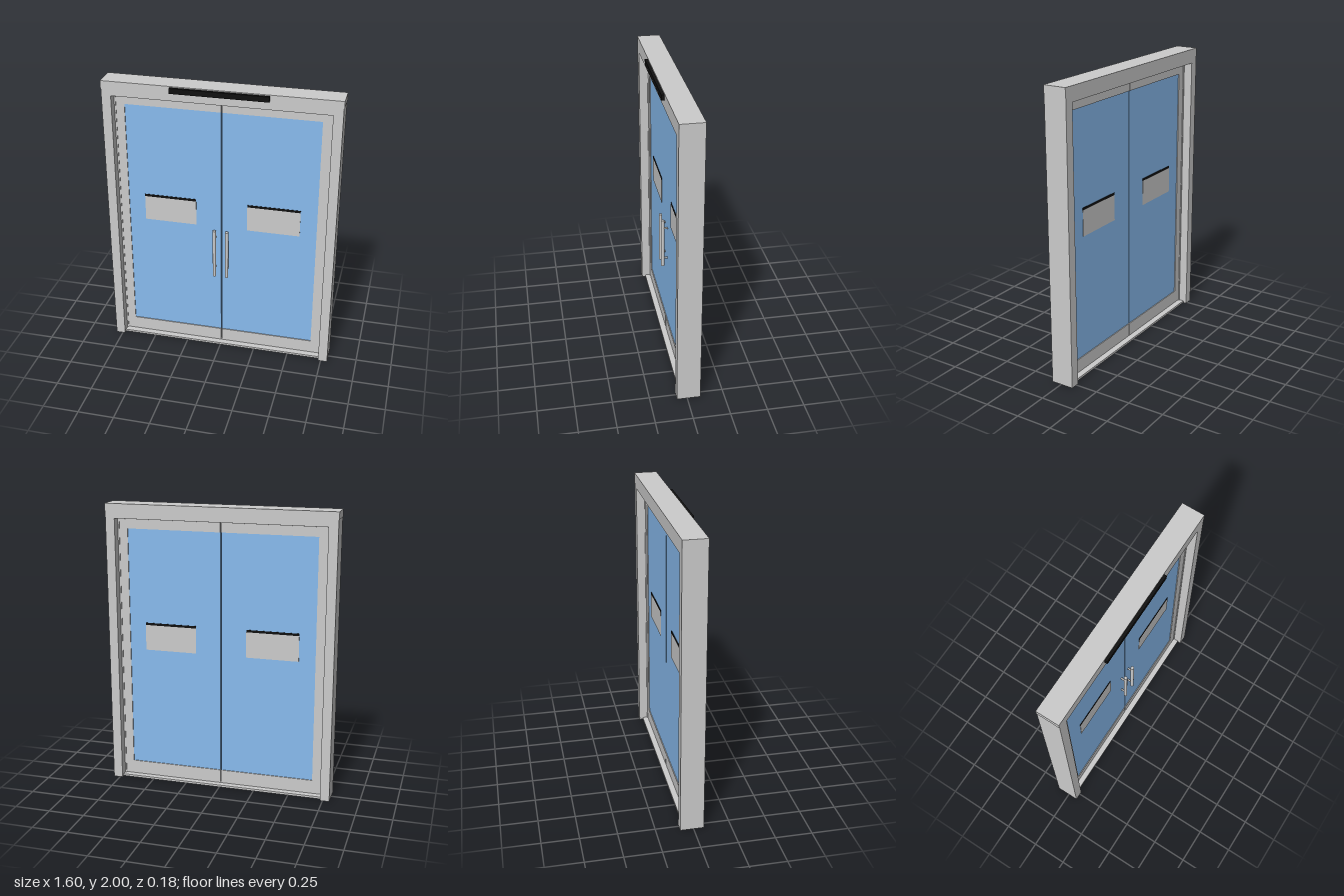
import * as THREE from 'three';

const metal = new THREE.MeshStandardMaterial({ color: 0xcccccc });
const glass = new THREE.MeshStandardMaterial({ color: 0x88bbee });
const white = new THREE.MeshStandardMaterial({ color: 0xf2f2f2 });
const black = new THREE.MeshStandardMaterial({ color: 0x111111 });

// Box given by its limits on each axis
function box(parent, name, [x0, x1], [y0, y1], [z0, z1], material = metal) {
  const mesh = new THREE.Mesh(new THREE.BoxGeometry(x1 - x0, y1 - y0, z1 - z0), material);
  mesh.position.set((x0 + x1) / 2, (y0 + y1) / 2, (z0 + z1) / 2);
  mesh.name = name;
  parent.add(mesh);
  return mesh;
}

// Limits mirrored to the chosen side
const flip = (s, a, b) => (s > 0 ? [a, b] : [-b, -a]);

function createDoor(s) {
  const door = new THREE.Group();
  door.name = s > 0 ? 'leftDoor' : 'rightDoor';
  const rail = [-0.026, 0.006];

  // Metal rails, outer stile and glass pane
  box(door, 'bottomRail', flip(s, 0.003, 0.725), [0.02, 0.115], rail);
  box(door, 'topRail', flip(s, 0.003, 0.725), [1.825, 1.89], rail);
  box(door, 'outerStile', flip(s, 0.663, 0.725), [0.115, 1.825], rail);
  box(door, 'glassPane', flip(s, 0.003, 0.663), [0.115, 1.825], [-0.02, 0], glass);

  // Notice panel with a dark top strip, visible on both faces of the glass
  box(door, 'noticePanel', flip(s, 0.18, 0.547), [0.97, 1.15], [-0.023, 0.003], white);
  box(door, 'noticeStrip', flip(s, 0.18, 0.547), [1.15, 1.166], [-0.023, 0.003], black);

  // Pull handle on two standoffs
  const handle = new THREE.Group();
  handle.name = 'pullHandle';
  const bar = new THREE.Mesh(new THREE.CylinderGeometry(0.012, 0.012, 0.365, 20), metal);
  bar.name = 'handleBar';
  bar.position.set(s * 0.044, 0.771, 0.035);
  handle.add(bar);
  for (const y of [0.65, 0.89]) {
    const post = new THREE.Mesh(new THREE.CylinderGeometry(0.007, 0.007, 0.035, 12), metal);
    post.name = 'handleStandoff';
    post.rotation.x = Math.PI / 2;
    post.position.set(s * 0.044, y, 0.0175);
    handle.add(post);
  }
  door.add(handle);

  // Hanger joining the door to the header
  box(door, 'doorHanger', flip(s, 0.665, 0.728), [1.888, 1.902], [-0.02, 0]);
  return door;
}

export function createModel() {
  const model = new THREE.Group();
  model.name = 'slidingDoor';

  // Surrounding frame
  for (const s of [1, -1]) {
    box(model, s > 0 ? 'leftPost' : 'rightPost', flip(s, 0.732, 0.797), [0, 1.95], [-0.09, 0.07]);
    box(model, 'doorGuide', flip(s, 0.722, 0.733), [0.01, 1.89], [-0.03, 0.01]);
  }
  box(model, 'headerBeam', [-0.732, 0.732], [1.9, 1.95], [-0.09, 0.07]);
  box(model, 'headerCap', [-0.8, 0.8], [1.95, 2], [-0.09, 0.07]);
  box(model, 'threshold', [-0.732, 0.732], [0, 0.015], [-0.065, 0.045]);
  box(model, 'floorTrack', [-0.732, 0.732], [0.015, 0.021], [-0.02, 0]);

  // Motion sensor on the front of the header
  box(model, 'motionSensor', [-0.328, 0.328], [1.957, 1.993], [0.07, 0.09], black);

  for (const s of [1, -1]) model.add(createDoor(s));
  return model;
}
